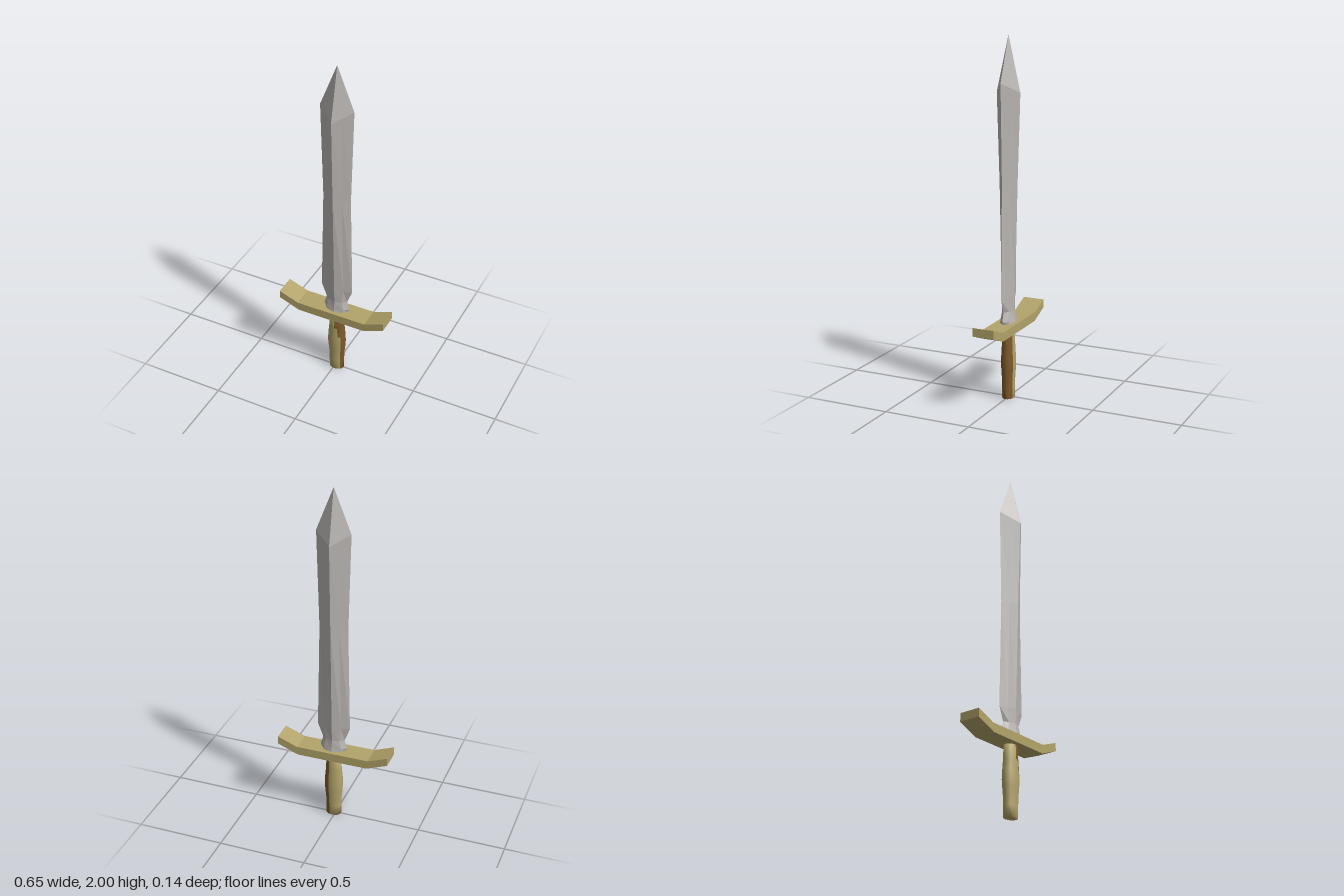
import * as THREE from 'three';

const paint = (name, color) => Object.assign(new THREE.MeshStandardMaterial({ color }), { name });

// Skins rings into a closed solid. ring(i, j) gives a point, pick(i, j) a material slot for each side panel.
function loft(rings, sides, ring, pick = () => 0, slots = 1) {
  const pos = [];
  for (let i = 0; i < rings; i++) for (let j = 0; j < sides; j++) pos.push(...ring(i, j));
  const lists = Array.from({ length: slots }, () => []);
  for (let i = 0; i < rings - 1; i++) {
    for (let j = 0; j < sides; j++) {
      const k = (j + 1) % sides;
      const a = i * sides + j, b = i * sides + k, c = b + sides, d = a + sides;
      lists[pick(i, j)].push(a, d, c, a, c, b);
    }
  }
  // End caps
  const top = (rings - 1) * sides;
  for (let j = 1; j < sides - 1; j++) lists[0].push(0, j, j + 1, top, top + j + 1, top + j);
  const geo = new THREE.BufferGeometry();
  geo.setAttribute('position', new THREE.Float32BufferAttribute(pos, 3));
  geo.setIndex(lists.flat());
  let start = 0;
  lists.forEach((list, slot) => {
    geo.addGroup(start, list.length, slot);
    start += list.length;
  });
  geo.computeVertexNormals();
  return geo;
}

export function createModel() {
  const steel = paint('steel', 0xb9b5b2);
  const brass = paint('brass', 0xb3a46a);
  const leather = paint('brownGrip', 0x7e5a2a);
  const model = new THREE.Group();
  model.name = 'sword';
  const add = (name, geo, mat) => {
    const mesh = new THREE.Mesh(geo, mat);
    mesh.name = name;
    model.add(mesh);
    return mesh;
  };

  // Blade: half width, half depth, height at the edges, height at the ridges, fullness (0.5 is a diamond)
  const blade = [
    [0.070, 0.042, 0.435, 0.435, 0.68],
    [0.079, 0.038, 0.455, 0.455, 0.66],
    [0.064, 0.033, 0.505, 0.505, 0.62],
    [0.095, 0.036, 0.585, 0.590, 0.5],
    [0.082, 0.053, 1.200, 1.200, 0.5],
    [0.097, 0.069, 1.755, 1.700, 0.5],
    [0.0005, 0.0005, 2, 2, 0.5],
  ];
  const bladeGeo = loft(blade.length, 8, (i, j) => {
    const [w, d, yEdge, yRidge, full] = blade[i];
    const a = (j * Math.PI) / 4;
    const unit = (v) => (j % 2 ? Math.sign(v) * full : Math.round(v));
    const y = j % 2 ? (yEdge + yRidge) / 2 : j % 4 ? yRidge : yEdge;
    return [unit(Math.cos(a)) * w, y, unit(Math.sin(a)) * d];
  }).toNonIndexed();
  bladeGeo.computeVertexNormals();
  add('blade', bladeGeo, steel).position.x = 0.01;

  // Crossguard: flat bar with upturned ends
  const outline = [
    [-0.325, 0.435], [-0.205, 0.388], [0.205, 0.388], [0.325, 0.435],
    [0.325, 0.482], [0.21, 0.438], [-0.21, 0.438], [-0.325, 0.482],
  ];
  const guardShape = new THREE.Shape(outline.map(([x, y]) => new THREE.Vector2(x, y)));
  const guard = new THREE.ExtrudeGeometry(guardShape, { depth: 0.122, bevelEnabled: false });
  add('crossguard', guard.translate(0, 0, -0.061), brass);

  // Grip: smooth oval handle with a swell, browned along one side
  const grip = [
    [0, 0.044, 0.034], [0.06, 0.044, 0.034], [0.11, 0.046, 0.035], [0.16, 0.051, 0.038],
    [0.20, 0.054, 0.040], [0.25, 0.052, 0.038], [0.31, 0.046, 0.035], [0.40, 0.043, 0.033],
  ];
  const gripGeo = loft(grip.length, 16, (i, j) => {
    const [y, w, d] = grip[i];
    const a = (j * Math.PI) / 8;
    return [Math.cos(a) * w, y, Math.sin(a) * d];
  }, (i, j) => (j < (i > 5 ? 4 : i > 4 ? 3 : 2) || j > 12 ? 1 : 0), 2);
  add('grip', gripGeo, [brass, leather]).position.x = 0.01;

  return model;
}
